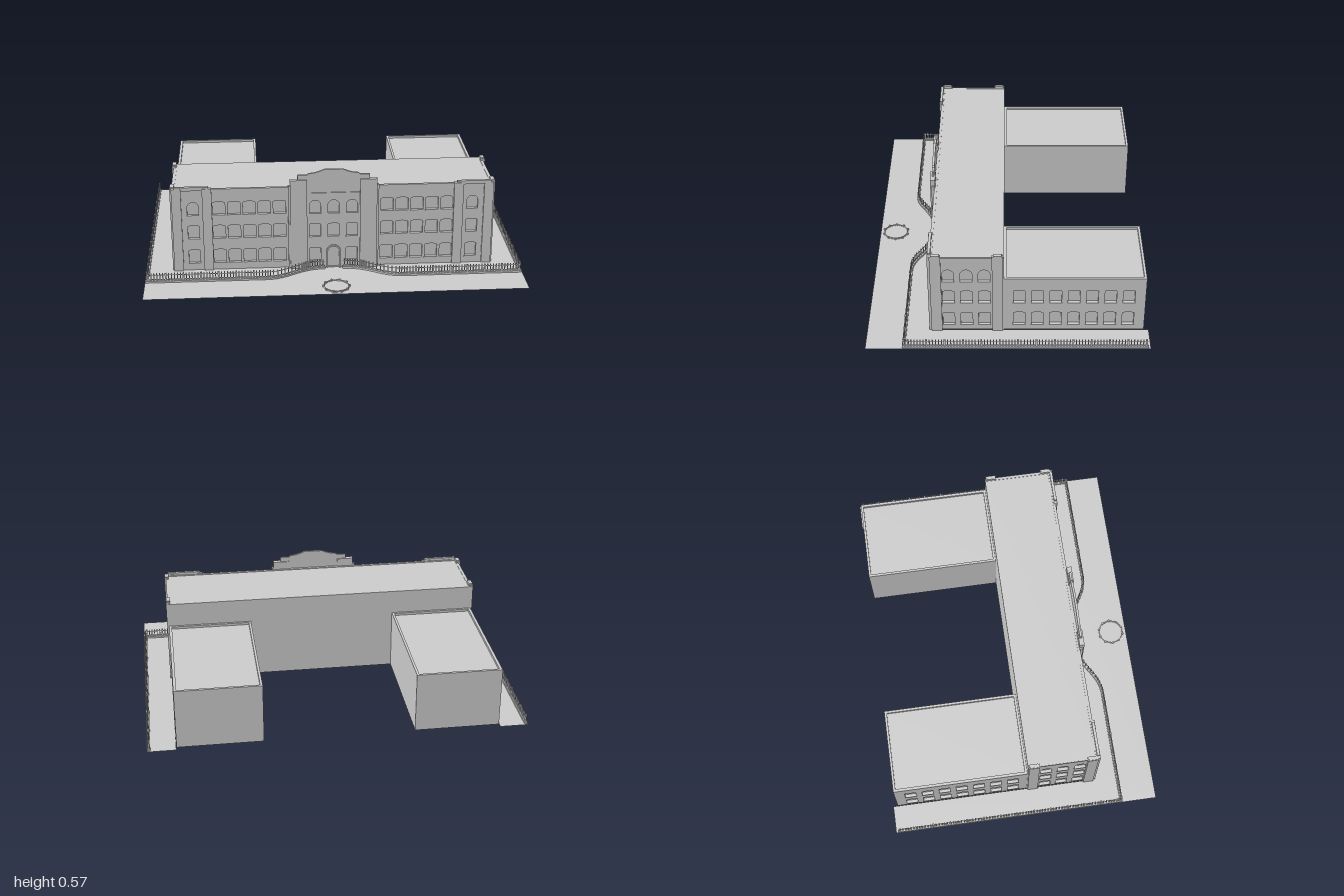
import * as THREE from 'three';
import { mergeGeometries } from 'three/addons/utils/BufferGeometryUtils.js';

const mat = new THREE.MeshStandardMaterial({ color: 0xcccccc, flatShading: true, side: THREE.DoubleSide });
const BASE = 0.01; // ground level

export function createModel() {
  const root = new THREE.Group();
  root.name = 'schoolBuilding';

  const add = (name, geo, parent = root) => {
    const m = new THREE.Mesh(geo, mat);
    m.name = name;
    parent.add(m);
    return m;
  };
  // Box given by its limits
  const boxGeo = (x0, x1, y0, y1, z0, z1) =>
    new THREE.BoxGeometry(Math.abs(x1 - x0), y1 - y0, z1 - z0).translate((x0 + x1) / 2, (y0 + y1) / 2, (z0 + z1) / 2);
  const box = (name, ...lim) => add(name, boxGeo(...lim));

  // Opening outline: rise is the height of the curved head
  const opening = (u, y0, y1, w, rise) => {
    const p = new THREE.Path(), h = w / 2;
    p.moveTo(u - h, y0);
    p.lineTo(u + h, y0);
    p.lineTo(u + h, y1 - rise);
    p.absellipse(u, y1 - rise, h, rise, 0, Math.PI, false);
    p.lineTo(u - h, y0);
    return p;
  };
  // Wall with real openings and a pane set back behind each; outer face at local z = 0
  const wall = (name, outline, openings, depth) => {
    const g = new THREE.Group();
    g.name = name;
    const shape = new THREE.Shape(outline.map(([x, y]) => new THREE.Vector2(x, y)));
    const panes = [], sills = [];
    for (const o of openings) {
      const [u, y0, y1, w] = o;
      shape.holes.push(opening(...o));
      panes.push(new THREE.PlaneGeometry(w + 0.004, y1 - y0 + 0.004).translate(u, (y0 + y1) / 2, -depth + 0.001));
      if (y0 > 0.02) sills.push(boxGeo(u - w / 2 - 0.003, u + w / 2 + 0.003, y0 - 0.005, y0, -depth, 0.003));
    }
    const geo = new THREE.ExtrudeGeometry(shape, { depth, bevelEnabled: false, curveSegments: 10 });
    add('wallFace', geo.translate(0, 0, -depth), g);
    add('windowPanes', mergeGeometries(panes), g);
    add('windowSills', mergeGeometries(sills), g);
    root.add(g);
    return g;
  };
  const rect = (x0, x1, y0, y1) => [[x0, y0], [x1, y0], [x1, y1], [x0, y1]];
  const ROWS = [[0.05, 0.128], [0.193, 0.268], [0.328, 0.402]];

  // Ground: U-shaped sheet left open under the building
  const plan = new THREE.Shape([[-1, -0.72], [1, -0.72], [1, 0.73], [0.85, 0.73], [0.85, -0.39],
    [-0.85, -0.39], [-0.85, 0.73], [-1, 0.73]].map(([x, y]) => new THREE.Vector2(x, y)));
  add('ground', new THREE.ShapeGeometry(plan).rotateX(-Math.PI / 2).translate(0, BASE, 0));

  // Main block: front wall
  const front = [];
  for (const s of [-1, 1]) {
    for (const [y0, y1] of ROWS)
      for (let i = 0; i < 5; i++) front.push([s * (0.285 + i * 0.08), y0, y1, 0.066, 0.008]);
    ROWS.forEach(([y0, y1], r) => front.push([s * 0.74, y0, y1, 0.06, r === 2 ? 0.03 : 0.006]));
  }
  wall('frontWall', rect(-0.85, 0.85, BASE, 0.475), front, 0.015).position.z = 0.39;
  box('mainRoof', -0.85, 0.85, 0.465, 0.472, 0.015, 0.385);
  box('mainBackWall', -0.85, 0.85, BASE, 0.472, 0.015, 0.02);

  // Centre bay with stepped, curved gable
  const gable = [[-0.19, 0.545], [-0.14, 0.545], [-0.132, 0.553], [-0.1, 0.557], [-0.07, 0.566], [-0.05, 0.575]];
  const outline = [[0.19, BASE], [-0.19, BASE], ...gable, ...gable.map(([x, y]) => [-x, y]).reverse()];
  const centre = [[0, 0.013, 0.135, 0.06, 0.03]];
  ROWS.forEach(([y0, y1], r) => {
    for (const u of [-0.098, 0, 0.098])
      if (r > 0 || u !== 0) centre.push([u, y0, y1, 0.06, r === 2 ? 0.03 : 0.006]);
  });
  wall('centreBay', outline, centre, 0.012).position.z = 0.403;
  box('centreBand', -0.135, 0.135, 0.44, 0.446, 0.4, 0.408);

  // Arched door surround
  const arch = new THREE.Shape();
  arch.moveTo(-0.038, BASE);
  arch.lineTo(-0.038, 0.105);
  arch.absellipse(0, 0.105, 0.038, 0.038, Math.PI, 0, true);
  arch.lineTo(0.038, BASE);
  arch.lineTo(0.03, BASE);
  arch.lineTo(0.03, 0.105);
  arch.absellipse(0, 0.105, 0.03, 0.03, 0, Math.PI, false);
  arch.lineTo(-0.03, BASE);
  add('doorSurround', new THREE.ExtrudeGeometry(arch, { depth: 0.012, bevelEnabled: false }).translate(0, 0, 0.4));

  for (const s of [-1, 1]) {
    const side = s > 0 ? 'left' : 'right';
    // Centre piers
    box(side + 'CentrePier', s * 0.14, s * 0.23, BASE, 0.52, 0.385, 0.412);
    box(side + 'CentrePierEdge', s * 0.225, s * 0.24, BASE, 0.485, 0.385, 0.405);
    // End bay piers and raised parapet
    box(side + 'EndPierInner', s * 0.64, s * 0.69, BASE, 0.48, 0.38, 0.4);
    box(side + 'EndPierOuter', s * 0.8, s * 0.85, BASE, 0.48, 0.38, 0.4);
    box(side + 'EndParapet', s * 0.655, s * 0.835, 0.47, 0.49, 0.383, 0.398);
    // Side wall of main block
    const sideWin = [];
    ROWS.forEach(([y0, y1], r) => {
      for (const z of [0.115, 0.206, 0.298])
        sideWin.push([-s * z, y0 - 0.005, y1 - 0.006, 0.06, r === 2 ? 0.03 : 0.004]);
    });
    const turn = (g) => {
      g.rotation.y = s * Math.PI / 2;
      g.position.x = s * 0.848;
    };
    turn(wall(side + 'MainSideWall', rect(-s * 0.39, -s * 0.015, BASE, 0.474), sideWin, 0.015));
    for (const z of [0.02, 0.332]) {
      box(side + 'SidePier', s * 0.835, s * 0.858, BASE, 0.482, z, z + 0.056);
      box(side + 'SidePierCap', s * 0.835, s * 0.856, 0.482, 0.488, z + 0.006, z + 0.05);
    }
    // Rear wing: windowed outer wall, plain inner and back walls, sunken roof
    const wingWin = [];
    for (const [y0, y1] of ROWS.slice(0, 2))
      for (let i = 0; i < 7; i++) wingWin.push([s * (0.062 + i * 0.093), y0 - 0.005, y1 - 0.004, 0.06, 0.002]);
    turn(wall(side + 'WingOuterWall', rect(s * 0.705, -s * 0.015, BASE, 0.34), wingWin, 0.015));
    box(side + 'WingInnerWall', s * 0.397, s * 0.41, BASE, 0.34, -0.705, 0.015);
    box(side + 'WingBackWall', s * 0.397, s * 0.845, BASE, 0.34, -0.705, -0.692);
    box(side + 'WingFrontParapet', s * 0.397, s * 0.845, 0.32, 0.34, 0.002, 0.015);
    box(side + 'WingRoof', s * 0.4, s * 0.84, 0.32, 0.327, -0.7, 0.01);

    // Boundary fence: side run, front run, then a sweep in to the entrance
    const sweep = new THREE.CubicBezierCurve3(
      new THREE.Vector3(s * 0.36, 0, 0.525), new THREE.Vector3(s * 0.24, 0, 0.525),
      new THREE.Vector3(s * 0.2, 0, 0.42), new THREE.Vector3(s * 0.05, 0, 0.416));
    const pts = [new THREE.Vector3(s * 0.99, 0, -0.715), new THREE.Vector3(s * 0.99, 0, 0.525), ...sweep.getPoints(14)];
    const kerb = [], rails = [], pickets = [];
    for (let i = 1; i < pts.length; i++) {
      const a = pts[i - 1], b = pts[i], d = b.clone().sub(a), len = d.length();
      const run = (w, y0, y1) => new THREE.BoxGeometry(w, y1 - y0, len + w * 0.6)
        .rotateY(Math.atan2(d.x, d.z)).translate((a.x + b.x) / 2, (y0 + y1) / 2, (a.z + b.z) / 2);
      kerb.push(run(0.016, 0.006, 0.02));
      rails.push(run(0.003, 0.024, 0.028), run(0.003, 0.05, 0.053));
      const n = Math.max(1, Math.round(len / 0.0155));
      for (let k = 0; k < n; k++) {
        const p = a.clone().lerp(b, (k + 0.5) / n), w = k % 6 === 0 && n > 3 ? 0.0045 : 0.0025;
        pickets.push(boxGeo(p.x - w, p.x + w, 0.02, 0.062, p.z - w, p.z + w));
      }
    }
    add(side + 'FenceKerb', mergeGeometries(kerb));
    add(side + 'FenceRails', mergeGeometries(rails));
    add(side + 'FencePickets', mergeGeometries(pickets));
  }

  // Low round railing on the forecourt
  const ring = new THREE.Group();
  ring.name = 'forecourtRing';
  ring.position.set(0, 0, 0.633);
  root.add(ring);
  const N = 10;
  for (const y of [0.009, 0.015])
    add('ringRail', new THREE.TorusGeometry(0.068, 0.003, 5, N).rotateX(Math.PI / 2).translate(0, y, 0), ring);
  for (let i = 0; i < N; i++) {
    const t = i / N * Math.PI * 2;
    add('ringPost', new THREE.CylinderGeometry(0.006, 0.006, 0.02, 6)
      .translate(Math.cos(t) * 0.068, 0.01, Math.sin(t) * 0.068), ring);
  }
  return root;
}
